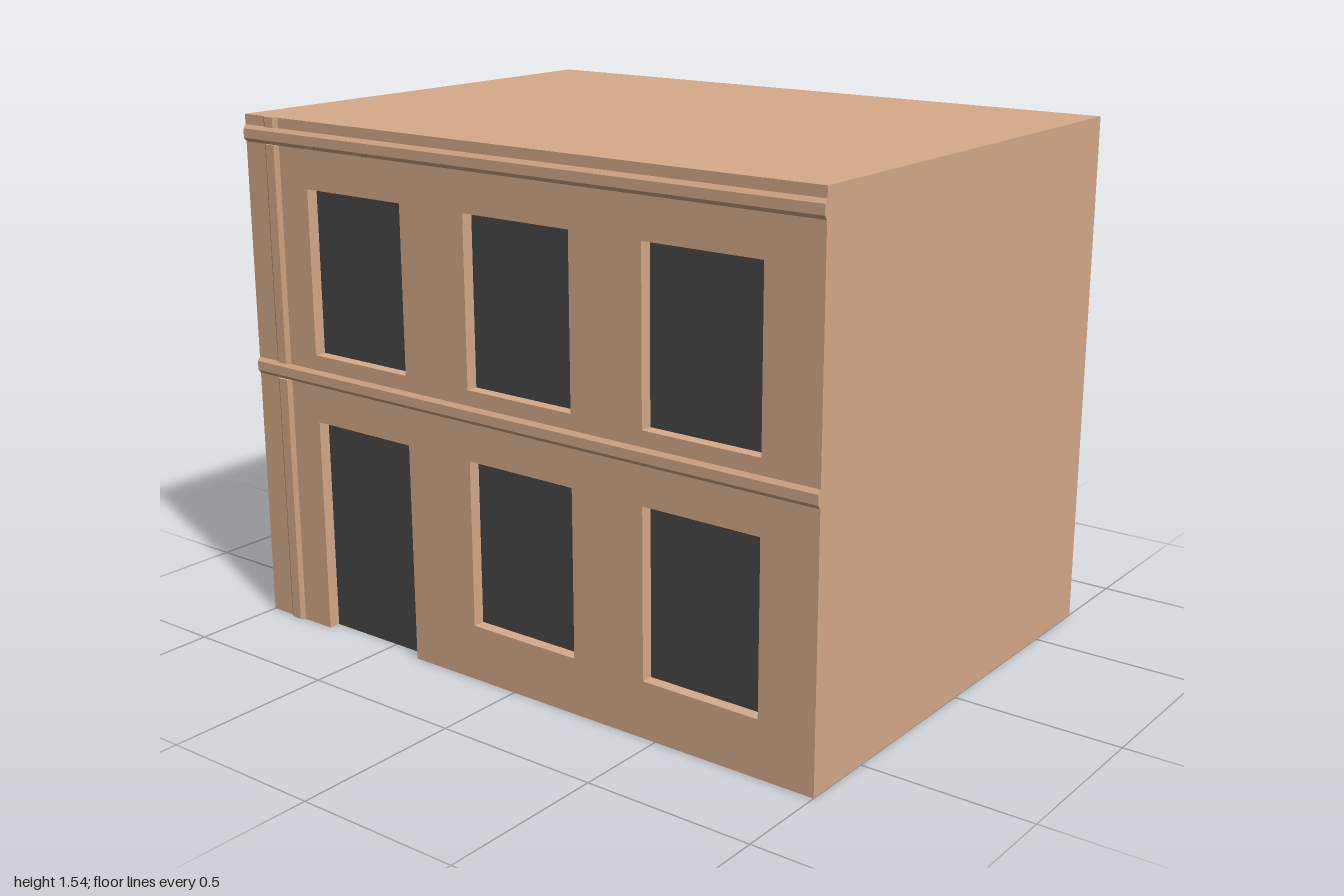
import * as THREE from 'three';

const W = 1, H = 1.545, BACK = -0.73, FRONT = 0.722, DEPTH = 0.06;

export function createModel() {
  const group = new THREE.Group();
  const wallMat = new THREE.MeshStandardMaterial({ color: 0xd6aa88, side: THREE.DoubleSide });
  const darkMat = new THREE.MeshStandardMaterial({ color: 0x484848, side: THREE.DoubleSide });

  const add = (name, geometry, material = wallMat, parent = group) => {
    const mesh = new THREE.Mesh(geometry, material);
    mesh.name = name;
    parent.add(mesh);
    return mesh;
  };
  const polygon = (pts) => new THREE.Shape(pts.map(([x, y]) => new THREE.Vector2(x, y)));
  const rect = (x0, x1, y0, y1) => polygon([[x0, y0], [x1, y0], [x1, y1], [x0, y1]]);

  // Openings: [left, right, bottom, top]
  const door = [-0.75, -0.38, 0, 0.655];
  const windows = [];
  for (const x of [-0.75, -0.145, 0.46]) {
    if (x > -0.5) windows.push([x, x + 0.368, 0.165, 0.655]);
    windows.push([x, x + 0.368, 0.86, 1.35]);
  }

  // Facade with a door notch and window holes
  const facade = polygon([[-W, 0], [door[0], 0], [door[0], door[3]], [door[1], door[3]],
    [door[1], 0], [W, 0], [W, H], [-W, H]]);
  windows.forEach((w) => facade.holes.push(rect(...w)));
  add('facade', new THREE.ShapeGeometry(facade)).position.z = FRONT;

  // Side walls; the back stays open
  for (const s of [-1, 1]) {
    const side = add(s < 0 ? 'rightWall' : 'leftWall',
      new THREE.PlaneGeometry(FRONT - BACK, H).rotateY(s * Math.PI / 2));
    side.position.set(s * W, H / 2, (FRONT + BACK) / 2);
  }

  // Roof, and floor notched at the doorway
  const roof = add('roof', new THREE.PlaneGeometry(2 * W, FRONT - BACK).rotateX(-Math.PI / 2));
  roof.position.set(0, H, (FRONT + BACK) / 2);
  const notch = FRONT - 0.035;
  const floor = polygon([[-W, -FRONT], [door[0], -FRONT], [door[0], -notch], [door[1], -notch],
    [door[1], -FRONT], [W, -FRONT], [W, -BACK], [-W, -BACK]]);
  add('floor', new THREE.ShapeGeometry(floor).rotateX(-Math.PI / 2));

  // Recessed opening: reveal, dark pane, inner panel and inner frame
  const opening = (name, [x0, x1, y0, y1], isDoor, shift = 0) => {
    const part = new THREE.Group();
    part.name = name;
    group.add(part);
    const w = x1 - x0, h = y1 - y0, cx = (x0 + x1) / 2, cy = (y0 + y1) / 2;
    const zMid = FRONT - DEPTH / 2;
    for (const x of [x0, x1]) {
      add('reveal', new THREE.PlaneGeometry(DEPTH, h).rotateY(Math.PI / 2), wallMat, part)
        .position.set(x, cy, zMid);
    }
    for (const y of isDoor ? [y1] : [y0, y1]) {
      add('reveal', new THREE.PlaneGeometry(w, DEPTH).rotateX(-Math.PI / 2), wallMat, part)
        .position.set(cx, y, zMid);
    }
    add('pane', new THREE.PlaneGeometry(w - shift, h), darkMat, part)
      .position.set(cx - shift / 2, cy, FRONT - 0.035);
    add('innerPanel', new THREE.PlaneGeometry(w, h), wallMat, part)
      .position.set(cx, cy, FRONT - 0.048);
    const t = 0.025;
    const ring = rect(x0, x1, y0, y1);
    ring.holes.push(rect(x0 + t, x1 - t, y0 + t, y1 - t));
    add('innerFrame', new THREE.ExtrudeGeometry(ring, { depth: 0.012, bevelEnabled: false }), darkMat, part)
      .position.z = FRONT - DEPTH;
  };
  opening('door', door, true);
  windows.forEach((w, i) => opening('window', w, false, i === 0 ? 0.02 : 0));

  // Shallow mouldings: a bevelled strip in section, extruded along its length
  const moulding = (name, width, length) => {
    const a = width / 2;
    const section = polygon([[-a, 0], [a, 0], [a * 0.55, 0.009], [-a * 0.55, 0.009]]);
    return add(name, new THREE.ExtrudeGeometry(section, { depth: length, bevelEnabled: false }));
  };
  for (const y of [0.79, 1.49]) {
    const band = moulding('horizontalBand', 0.05, 2 * W);
    band.geometry.applyMatrix4(new THREE.Matrix4().makeBasis(
      new THREE.Vector3(0, -1, 0), new THREE.Vector3(0, 0, 1), new THREE.Vector3(-1, 0, 0)));
    band.position.set(W, y, FRONT);
  }
  for (const [y0, y1] of [[0, 0.765], [0.815, 1.465], [1.515, H]]) {
    const strip = moulding('verticalStrip', 0.06, y1 - y0);
    strip.geometry.rotateX(-Math.PI / 2).applyMatrix4(new THREE.Matrix4().makeRotationY(Math.PI));
    strip.position.set(-0.89, y0, FRONT);
  }
  return group;
}
